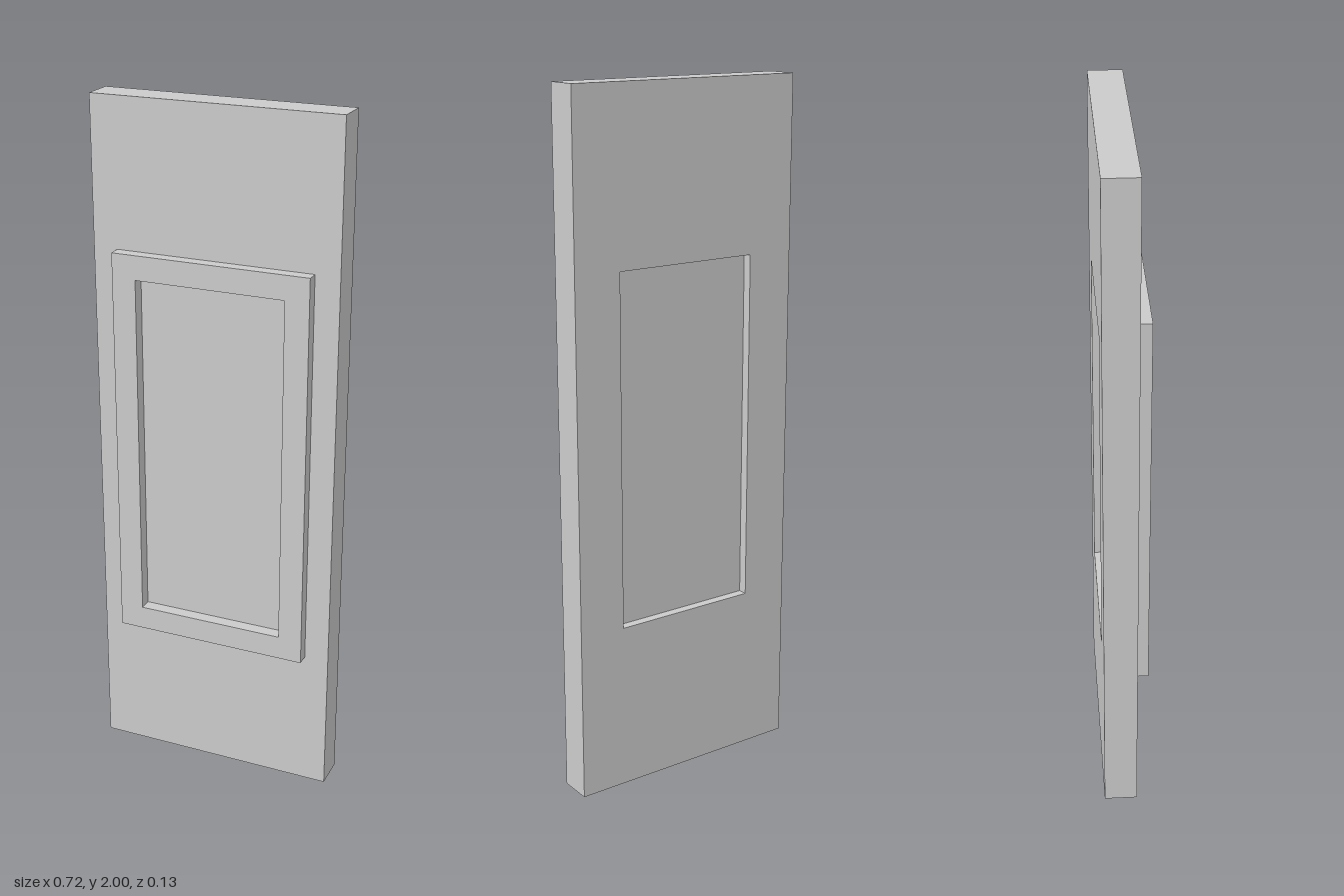
import * as THREE from 'three';

const material = new THREE.MeshStandardMaterial({ color: 0xcccccc, flatShading: true });
const MID_Y = 1;
const OPENING = { w: 0.436, h: 1.02 };

// Corners of a centred rectangle
const corners = (w, h) =>
  [[-1, -1], [1, -1], [1, 1], [-1, 1]].map(([x, y]) => new THREE.Vector2(x * w / 2, y * h / 2));

// Rectangular plate between two depths, optionally with the central opening
function plate(name, w, h, zBack, zFront, open) {
  const shape = new THREE.Shape(corners(w, h));
  if (open) shape.holes.push(new THREE.Path(corners(OPENING.w, OPENING.h)));
  const geometry = new THREE.ExtrudeGeometry(shape, { depth: zFront - zBack, bevelEnabled: false });
  const mesh = new THREE.Mesh(geometry, material);
  mesh.name = name;
  mesh.position.set(0, MID_Y, zBack);
  return mesh;
}

export function createModel() {
  const door = new THREE.Group();
  door.name = 'door';
  door.add(
    // Main slab with its opening
    plate('slab', 0.718, 2, -0.066, 0.03, true),
    // Raised moulding around the opening on the front
    plate('frontFrame', 0.576, 1.16, 0.03, 0.066, true),
    // Panel filling the opening, recessed from the back
    plate('insetPanel', OPENING.w, OPENING.h, -0.039, 0.029, false),
  );
  return door;
}
